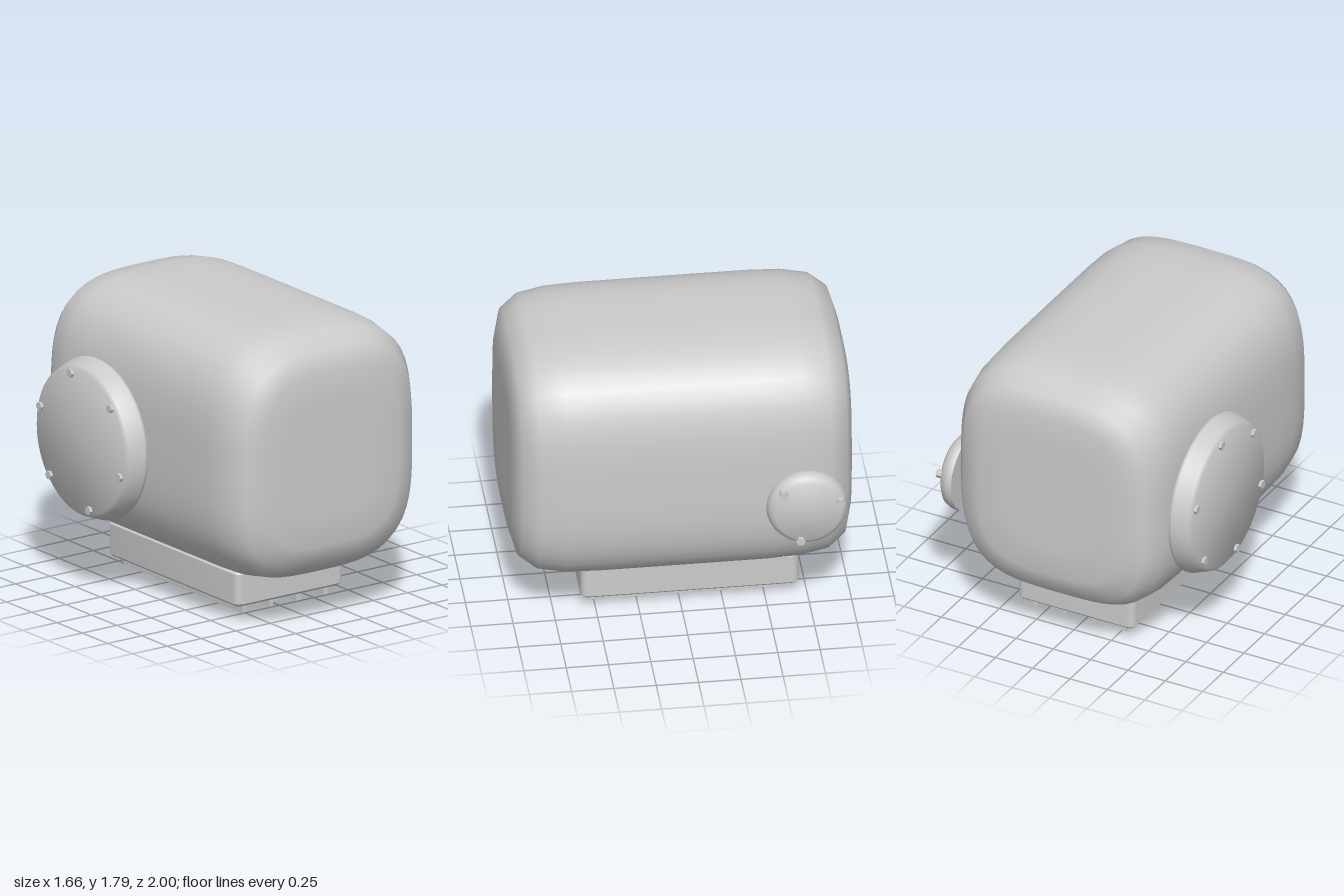
import * as THREE from 'three';
import { toCreasedNormals } from 'three/addons/utils/BufferGeometryUtils.js';

const material = new THREE.MeshStandardMaterial({ color: 0xcccccc });
const CX = 0.02;

function add(parent, name, geometry, x = 0, y = 0, z = 0) {
  const mesh = new THREE.Mesh(geometry, material);
  mesh.name = name;
  mesh.position.set(x, y, z);
  parent.add(mesh);
  return mesh;
}

// Housing: superellipse sections lofted along z, mirrored front to back
function housingGeometry() {
  const half = [ // z, x scale, y scale
    [1, 0, 0], [1, 0.45, 0.45], [1, 0.69, 0.695], [0.96, 0.862, 0.862],
    [0.86, 0.957, 0.953], [0.7, 0.989, 0.991], [0.5, 0.998, 1],
  ];
  const rings = [
    ...half.map(([z, a, b]) => [-z, a, b]), [0, 1, 1], ...half.slice().reverse(),
  ];
  const n = 64, power = 3.4, pos = [], index = [];
  rings.forEach(([z, a, b], i) => {
    for (let j = 0; j < n; j++) {
      const t = (j / n) * Math.PI * 2, c = Math.cos(t), s = Math.sin(t);
      const r = Math.pow(Math.abs(c) ** power + Math.abs(s) ** power, -1 / power);
      pos.push(0.705 * a * r * c, 0.765 * b * r * s, z);
      if (i === rings.length - 1) continue;
      const k = (j + 1) % n, p = i * n, q = p + n;
      if (i > 0) index.push(p + j, p + k, q + k);
      if (i < rings.length - 2) index.push(p + j, q + k, q + j);
      else index.push(p + j, p + k, q + j);
    }
  });
  const g = new THREE.BufferGeometry();
  g.setAttribute('position', new THREE.Float32BufferAttribute(pos, 3));
  g.setIndex(index);
  g.computeVertexNormals();
  return g;
}

// Round side cover with a ring of hex bolts, facing +x (side 1) or -x (side -1)
function cover(name, side, profile, boltCount, boltCircle) {
  const group = new THREE.Group();
  group.name = name;
  const points = profile.map(([r, h]) => new THREE.Vector2(r, h));
  add(group, name + 'Plate', toCreasedNormals(new THREE.LatheGeometry(points, 64), 1.2));
  const top = profile[profile.length - 1][1];
  const bolt = toCreasedNormals(new THREE.CylinderGeometry(0.027, 0.027, 0.036, 6), 0.5);
  for (let i = 0; i < boltCount; i++) {
    const t = THREE.MathUtils.degToRad(43) + (i / boltCount) * Math.PI * 2;
    add(group, name + 'Bolt', bolt, -side * Math.sin(t) * boltCircle, top, Math.cos(t) * boltCircle);
  }
  group.rotation.z = -side * Math.PI / 2;
  return group;
}

// Rounded rectangle outline for the base
function roundedRect(w, h, r) {
  const s = new THREE.Shape();
  s.absarc(w - r, h - r, r, 0, Math.PI / 2);
  s.absarc(-w + r, h - r, r, Math.PI / 2, Math.PI);
  s.absarc(-w + r, -h + r, r, Math.PI, Math.PI * 1.5);
  s.absarc(w - r, -h + r, r, Math.PI * 1.5, Math.PI * 2);
  return s;
}

export function createModel() {
  const model = new THREE.Group();
  model.name = 'housingUnit';

  add(model, 'housing', housingGeometry(), CX, 1.03, 0);

  // Small cover on the left, large cover on the right
  const small = cover('smallCover', 1,
    [[0, 0], [0.234, 0], [0.239, 0.02], [0.236, 0.04], [0.222, 0.073], [0.195, 0.092], [0, 0.094]], 3, 0.2);
  small.position.set(0.72, 0.85, -0.705);
  const large = cover('largeCover', -1,
    [[0, 0], [0.47, 0], [0.49, 0.008], [0.49, 0.025], [0.455, 0.12], [0.435, 0.135], [0, 0.135]], 6, 0.41);
  large.position.set(-0.68, 0.94, -0.357);
  model.add(small, large);

  // Base block with rounded corners and a small bevel
  const bevel = 0.015, top = 0.287, bottom = 0.074;
  const base = new THREE.ExtrudeGeometry(roundedRect(0.39 - bevel, 0.645 - bevel, 0.03), {
    depth: top - bottom - 2 * bevel, bevelThickness: bevel, bevelSize: bevel, bevelSegments: 1, curveSegments: 5,
  });
  base.rotateX(Math.PI / 2);
  add(model, 'base', toCreasedNormals(base, 0.6), CX, top - bevel, -0.058);

  // Cooling fins under the base
  for (let i = 0; i < 4; i++) {
    add(model, 'fin', new THREE.BoxGeometry(0.028, 0.08, 1.17), CX + (i - 1.5) * 0.197, 0.055, -0.058);
  }

  // Hex drain plug
  const plug = toCreasedNormals(new THREE.CylinderGeometry(0.063, 0.063, 0.1, 6), 0.5);
  plug.rotateY(Math.PI / 2);
  add(model, 'drainPlug', plug, CX, 0.05, 0.355);

  return model;
}
